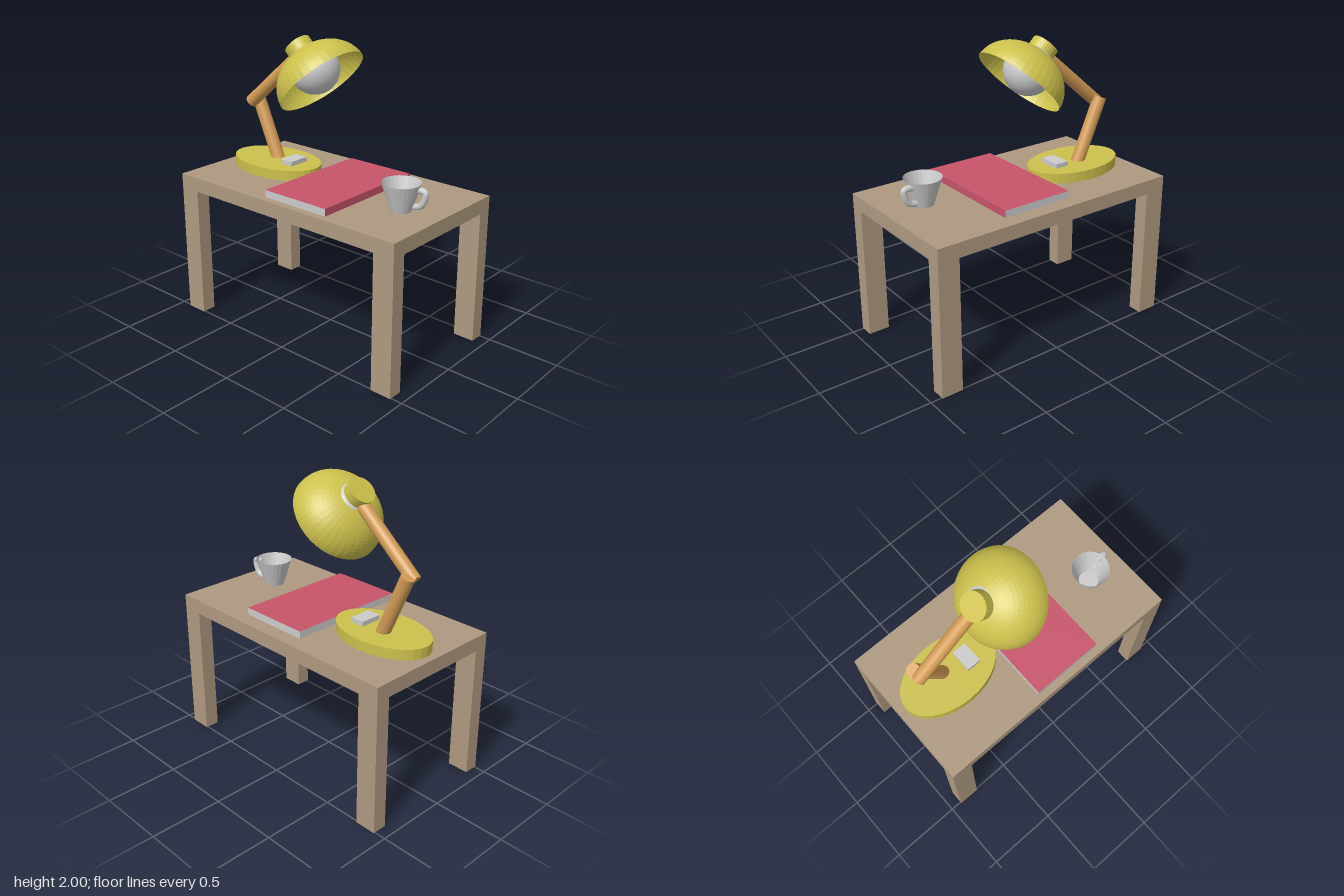
import * as THREE from 'three';

const paint = (color, opts = {}) => new THREE.MeshStandardMaterial({ color, ...opts });
const wood = paint(0xae9980);
const yellow = paint(0xccc04c, { flatShading: true, side: THREE.DoubleSide });
const armWood = paint(0xd29b55);
const red = paint(0xc85469);
const grey = paint(0xcccccc);
const greyFlat = paint(0xcccccc, { flatShading: true, side: THREE.DoubleSide });

function add(parent, name, geometry, material, x = 0, y = 0, z = 0) {
  const mesh = new THREE.Mesh(geometry, material);
  mesh.name = name;
  mesh.position.set(x, y, z);
  parent.add(mesh);
  return mesh;
}

function group(parent, name) {
  const g = new THREE.Group();
  g.name = name;
  parent.add(g);
  return g;
}

// Round rod between two points
function rod(parent, name, a, b, radius) {
  const dir = b.clone().sub(a);
  const mid = a.clone().add(b).multiplyScalar(0.5);
  const mesh = add(parent, name, new THREE.CylinderGeometry(radius, radius, dir.length(), 32), armWood, mid.x, mid.y, mid.z);
  mesh.quaternion.setFromUnitVectors(new THREE.Vector3(0, 1, 0), dir.normalize());
}

function buildTable(parent) {
  const table = group(parent, 'table');
  add(table, 'tabletop', new THREE.BoxGeometry(1.02, 0.1, 1.84), wood, 0, 0.975, 0);
  for (const sx of [-1, 1])
    for (const sz of [-1, 1])
      add(table, 'tableLeg', new THREE.BoxGeometry(0.1, 0.925, 0.15), wood, sx * 0.46, 0.4625, sz * 0.845);
}

function buildLamp(parent) {
  const lamp = group(parent, 'lamp');
  const V = (x, y, z) => new THREE.Vector3(x, y, z);

  // Oval foot and switch
  const base = add(lamp, 'lampBase', new THREE.CylinderGeometry(1, 1, 0.07, 32), yellow, 0.022, 1.06, -0.512);
  base.scale.set(0.228, 1, 0.357);
  add(lamp, 'lampSwitch', new THREE.BoxGeometry(0.155, 0.034, 0.1), grey, 0.022, 1.11, -0.357);

  // Two arm segments lying side by side at the elbow
  rod(lamp, 'lowerArm', V(0.052, 1.07, -0.53), V(0.052, 1.515, -0.725), 0.046);
  rod(lamp, 'upperArm', V(0, 1.475, -0.732), V(0, 1.845, -0.29), 0.045);

  // Head, tilted so that its axis points up and back
  const head = group(lamp, 'lampHead');
  head.position.set(-0.008, 1.717, -0.064);
  head.rotation.x = -Math.PI / 4;
  const shade = add(head, 'lampShade',
    new THREE.SphereGeometry(0.313, 40, 16, 0, Math.PI * 2, 0, Math.PI / 2), yellow);
  shade.scale.y = 0.25 / 0.313;
  add(head, 'shadeCollar', new THREE.CylinderGeometry(0.092, 0.092, 0.08, 32), yellow, 0, 0.27, 0);
  add(head, 'bulb', new THREE.SphereGeometry(0.167, 32, 20), grey, 0.008, 0.102, 0);
}

function buildBook(parent) {
  // Covers and front spine are red, page edges grey
  const book = group(parent, 'book');
  add(book, 'bookBody', new THREE.BoxGeometry(0.866, 0.05, 0.51),
    [grey, grey, red, red, red, grey], -0.028, 1.05, 0.1);
}

function buildMug(parent) {
  const mug = group(parent, 'mug');
  mug.position.set(-0.078, 1.025, 0.643);
  const profile = [[0, 0.002], [0.067, 0.002], [0.127, 0.188]].map(([r, y]) => new THREE.Vector2(r, y));
  add(mug, 'mugCup', new THREE.LatheGeometry(profile, 24), greyFlat);
  const path = new THREE.CatmullRomCurve3(
    [[0.155, 0.1], [0.158, 0.145], [0.13, 0.152], [0.095, 0.149], [0.062, 0.142]].slice(1, 4).reverse()
      .concat([[0.153, 0.098], [0.125, 0.052], [0.075, 0.035]])
      .map(([z, y]) => new THREE.Vector3(0.033, y, z)));
  add(mug, 'mugHandle', new THREE.TubeGeometry(path, 24, 0.021, 12), grey);
}

export function createModel() {
  const model = new THREE.Group();
  model.name = 'deskWithLamp';
  buildTable(model);
  buildLamp(model);
  buildBook(model);
  buildMug(model);
  return model;
}
